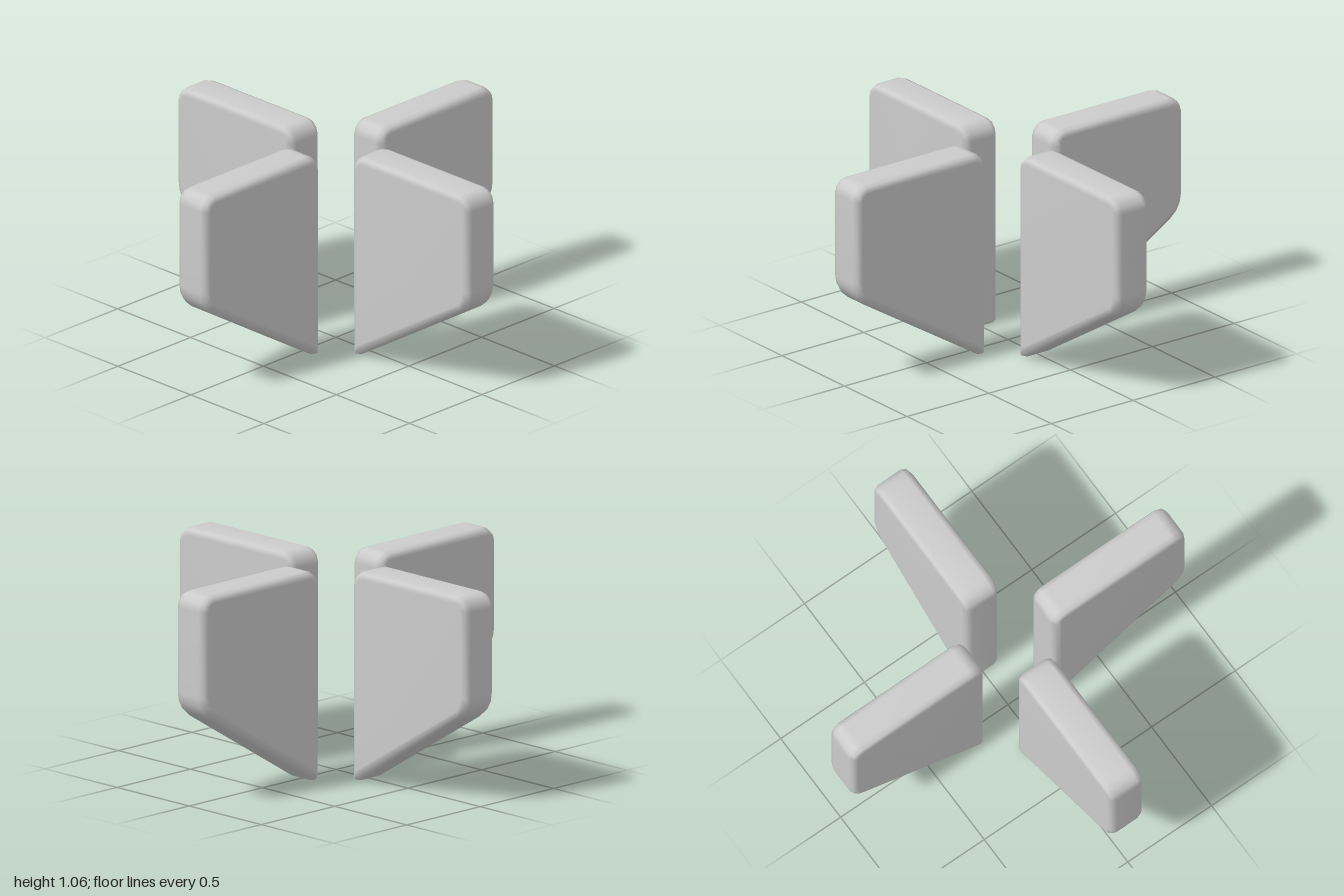
import * as THREE from 'three';

// Fin outline: sharp corners (counter-clockwise) and the radius rounding each
const CORNERS = [[0.205, -0.017, 0.022], [1, 0.473, 0.145], [1, 1.06, 0.075], [0.205, 1.06, 0.075]];
const SEGMENTS = 3;

// Layers through the thickness: z and inset from the outline (soft bevel)
const LAYERS = [[0.1, 0.036], [0.09, 0.011], [0.064, 0], [-0.064, 0], [-0.09, 0.011], [-0.1, 0.036]];

// Rounded outline moved inwards by a given distance
function outline(inset) {
  const pts = CORNERS.map(([x, y]) => new THREE.Vector2(x, y));
  const n = pts.length;
  const normals = pts.map((p, i) => {
    const e = pts[(i + 1) % n].clone().sub(p).normalize();
    return new THREE.Vector2(e.y, -e.x);
  });
  const ring = [];
  for (let i = 0; i < n; i++) {
    const n0 = normals[(i + n - 1) % n], n1 = normals[i];
    const r = Math.max(CORNERS[i][2] - inset, 0.006);
    const centre = n0.clone().add(n1).multiplyScalar(-(inset + r) / (1 + n0.dot(n1))).add(pts[i]);
    const turn = Math.acos(n0.dot(n1));
    for (let s = 0; s <= SEGMENTS; s++) {
      const a = n0.angle() + turn * s / SEGMENTS;
      ring.push([centre.x + r * Math.cos(a), centre.y + r * Math.sin(a)]);
    }
  }
  return ring;
}

function finGeometry() {
  const position = [], index = [];
  for (const [z, inset] of LAYERS) {
    for (const [x, y] of outline(inset)) position.push(x, y, z);
  }
  const count = CORNERS.length * (SEGMENTS + 1);
  // Bevelled rim
  for (let l = 0; l < LAYERS.length - 1; l++) {
    for (let i = 0; i < count; i++) {
      const j = (i + 1) % count;
      const a = l * count + i, b = l * count + j;
      index.push(a, a + count, b, b, a + count, b + count);
    }
  }
  // Flat sides
  const last = (LAYERS.length - 1) * count;
  for (let i = 1; i < count - 1; i++) {
    index.push(0, i, i + 1, last, last + i + 1, last + i);
  }
  const geo = new THREE.BufferGeometry();
  geo.setAttribute('position', new THREE.Float32BufferAttribute(position, 3));
  geo.setIndex(index);
  geo.computeVertexNormals();
  return geo;
}

export function createModel() {
  const group = new THREE.Group();
  group.name = 'fins';
  const material = new THREE.MeshStandardMaterial({ color: 0xcccccc });
  const geometry = finGeometry();
  // Four equal fins around the vertical axis
  ['leftFin', 'backFin', 'rightFin', 'frontFin'].forEach((name, i) => {
    const fin = new THREE.Mesh(geometry, material);
    fin.name = name;
    fin.rotation.y = i * Math.PI / 2;
    group.add(fin);
  });
  return group;
}
